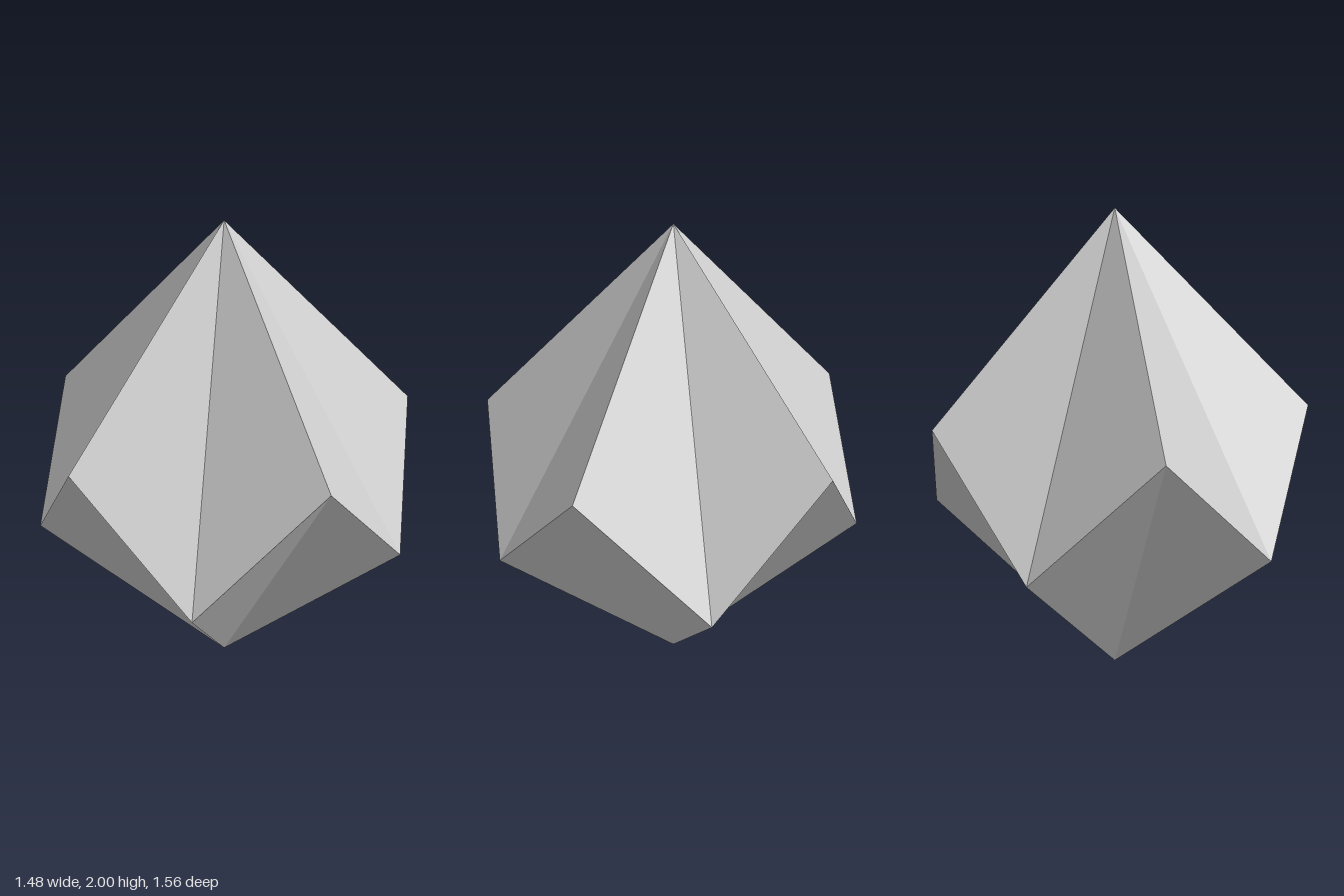
import * as THREE from 'three';

const SIDES = 10;
const RADIUS = 0.78;
const HIGH = 1.24;
const LOW = 0.765;

// Ten-sided die: two apexes joined by a zigzag girdle, starting high at the front
function createDieGeometry() {
  const top = [0, 2, 0];
  const bottom = [0, 0, 0];
  const girdle = (i) => {
    const a = ((i % SIDES) / SIDES) * Math.PI * 2;
    return [Math.sin(a) * RADIUS, i % 2 ? LOW : HIGH, Math.cos(a) * RADIUS];
  };

  const positions = [];
  for (let i = 0; i < SIDES; i++) {
    const a = girdle(i);
    const b = girdle(i + 1);
    positions.push(...top, ...a, ...b); // upper facet
    positions.push(...bottom, ...b, ...a); // lower facet
  }

  const geometry = new THREE.BufferGeometry();
  geometry.setAttribute('position', new THREE.Float32BufferAttribute(positions, 3));
  geometry.computeVertexNormals();
  return geometry;
}

export function createModel() {
  const group = new THREE.Group();
  group.name = 'tenSidedDie';

  const material = new THREE.MeshStandardMaterial({ color: 0xcccccc, flatShading: true });
  const body = new THREE.Mesh(createDieGeometry(), material);
  body.name = 'dieBody';
  group.add(body);

  return group;
}
